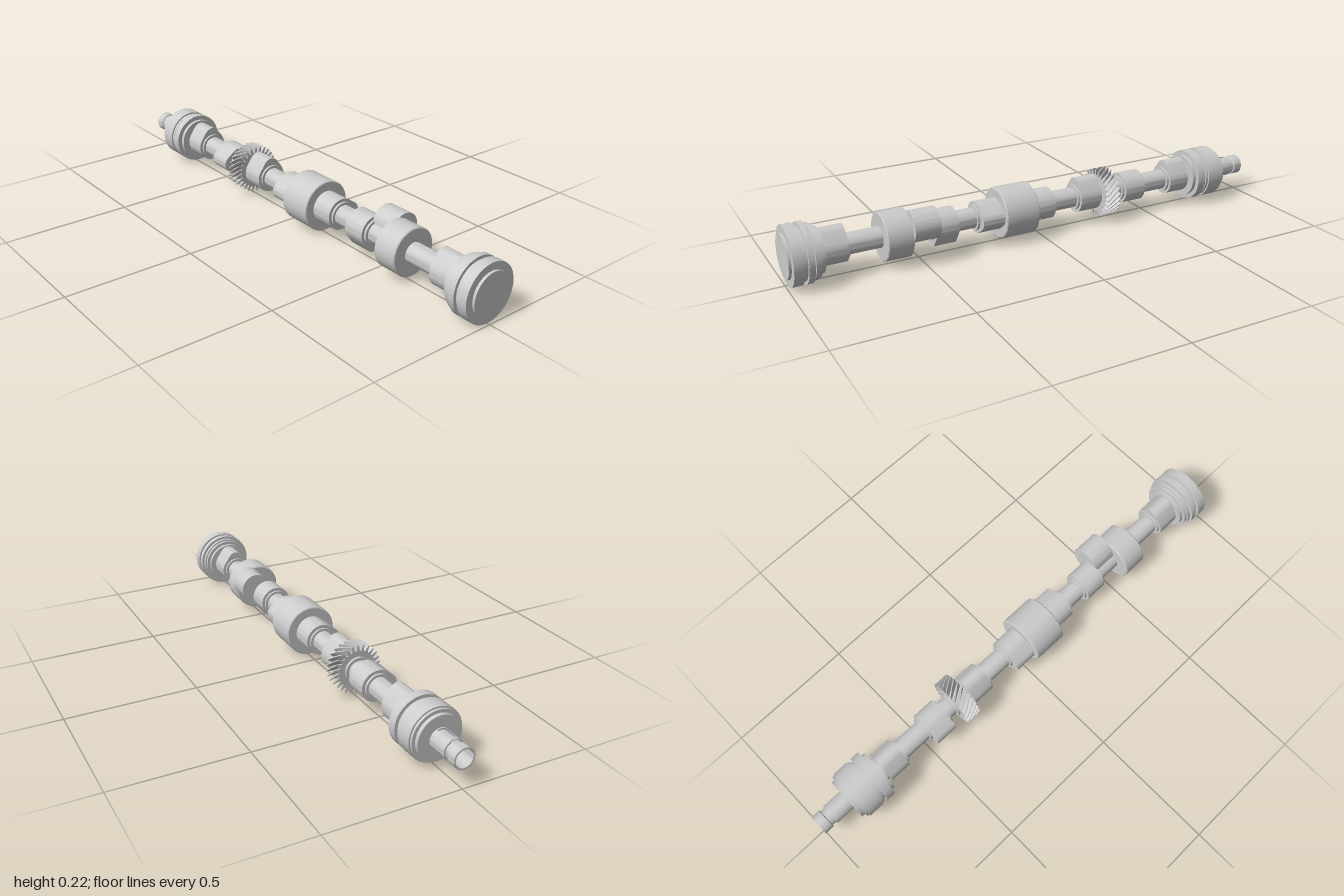
import * as THREE from 'three';
import { toCreasedNormals } from 'three/addons/utils/BufferGeometryUtils.js';

const AXIS_Y = 0.112;
const SHAFT_R = 0.04;

export function createModel() {
  const model = new THREE.Group();
  model.name = 'camshaft';
  const grey = new THREE.MeshStandardMaterial({ color: 0xcccccc, side: THREE.DoubleSide });

  const add = (name, geometry, crease = 0.5) => {
    const mesh = new THREE.Mesh(toCreasedNormals(geometry, crease), grey);
    mesh.name = name;
    mesh.position.y = AXIS_Y;
    model.add(mesh);
    return mesh;
  };

  // Surface of revolution about z from [z, radius] points, z ascending
  const turn = (name, points, start = 0, sweep = Math.PI * 2, sides = 32) => {
    const profile = points.map(([z, r]) => new THREE.Vector2(r, z));
    return add(name, new THREE.LatheGeometry(profile, sides, start, sweep).rotateX(Math.PI / 2));
  };

  // Stepped solid from [z0, z1, radius] sections
  const steps = (name, sections) => {
    const points = [[sections[0][0], 0]];
    for (const [z0, z1, r] of sections) points.push([z0, r], [z1, r]);
    points.push([sections[sections.length - 1][1], 0]);
    return turn(name, points);
  };

  // Main shaft
  steps('shaft', [[-0.87, 0.9, SHAFT_R]]);

  // Front end cap with oil grooves and raised face
  steps('frontCap', [
    [0.87, 0.885, 0.085], [0.885, 0.897, 0.098], [0.897, 0.91, 0.104], [0.91, 0.915, 0.092],
    [0.915, 0.937, 0.112], [0.937, 0.952, 0.1], [0.952, 0.99, 0.112], [0.99, 1, 0.083],
  ]);

  // Bearing journals, with slightly bevelled edges
  for (const [name, z0, z1, r] of [['frontJournal', 0.545, 0.645, 0.093], ['centreJournal', 0.035, 0.175, 0.1]]) {
    turn(name, [[z0, 0], [z0, r - 0.004], [z0 + 0.003, r], [z1 - 0.003, r], [z1, r - 0.004], [z1, 0]]);
  }

  // Grooved rear journal
  steps('rearJournal', [
    [-0.865, -0.85, 0.085], [-0.85, -0.84, 0.097], [-0.84, -0.775, 0.103], [-0.775, -0.765, 0.097],
    [-0.765, -0.755, 0.09], [-0.755, -0.72, 0.103], [-0.72, -0.705, 0.085],
  ]);

  // Cam lobes: base circle joined to a smaller nose circle by tangent flanks
  const lobe = (z0, z1, angle, x = 0, y = 0, base = 0.062, collars = true) => {
    const noseR = 0.036, noseAt = 0.08 - noseR;
    const a = Math.acos((base - noseR) / noseAt);
    const shape = new THREE.Shape();
    shape.absarc(0, 0, base, a, Math.PI * 2 - a);
    shape.absarc(noseAt, 0, noseR, -a, a);
    const geometry = new THREE.ExtrudeGeometry(shape, { depth: z1 - z0, bevelEnabled: false, curveSegments: 20 });
    const mesh = add('camLobe', geometry);
    mesh.position.set(x, AXIS_Y + y, z0);
    mesh.rotation.z = angle;
    if (collars) steps('lobeCollar', [[z0 - 0.009, z1 + 0.009, 0.05]]);
  };
  const up = Math.PI / 2, down = -up, right = Math.PI, left = 0;
  lobe(0.78, 0.872, up);
  lobe(0.447, 0.548, -Math.PI * 0.75, 0.05, 0.038, 0.06, false);
  lobe(0.357, 0.446, down);
  lobe(0.172, 0.265, left);
  lobe(-0.056, 0.036, right);
  lobe(-0.265, -0.174, up);
  lobe(-0.476, -0.385, right);
  lobe(-0.695, -0.606, up);

  // Helical drive gear: extruded tooth outline twisted along the shaft
  const teeth = 26, depth = 0.06, twist = -0.5;
  const outline = [];
  for (let i = 0; i < teeth; i++) {
    for (const [f, r] of [[0, 0.074], [0.3, 0.074], [0.5, 0.097], [0.7, 0.097]]) {
      const t = ((i + f) / teeth) * Math.PI * 2;
      outline.push(new THREE.Vector2(r * Math.cos(t), r * Math.sin(t)));
    }
  }
  const gear = new THREE.ExtrudeGeometry(new THREE.Shape(outline), { depth, steps: 6, bevelEnabled: false });
  const pos = gear.attributes.position;
  const v = new THREE.Vector3(), zAxis = new THREE.Vector3(0, 0, 1);
  for (let i = 0; i < pos.count; i++) {
    v.fromBufferAttribute(pos, i);
    v.applyAxisAngle(zAxis, (twist * v.z) / depth);
    pos.setXYZ(i, v.x, v.y, v.z);
  }
  gear.deleteAttribute('normal');
  gear.computeVertexNormals();
  add('helicalGear', gear).position.z = -0.335;
  steps('gearHub', [[-0.345, -0.265, 0.052]]);

  // Hollow rear spigot: necked tip, then a sleeve with a keyway along its top
  turn('spigotTip', [
    [-0.94, 0.034], [-1, 0.034], [-1, 0.04], [-0.965, 0.04], [-0.962, 0.034], [-0.943, 0.034], [-0.94, 0.04], [-0.93, 0.04],
  ]);
  turn('spigotBore', [[-0.94, 0], [-0.94, 0.034], [-0.86, 0.034]]);
  const gap = 0.4; // the lathe angle that ends up pointing up is pi
  turn('keywaySleeve', [[-0.945, 0.034], [-0.945, 0.04], [-0.86, 0.04]], Math.PI + gap, Math.PI * 2 - gap * 2);

  return model;
}
